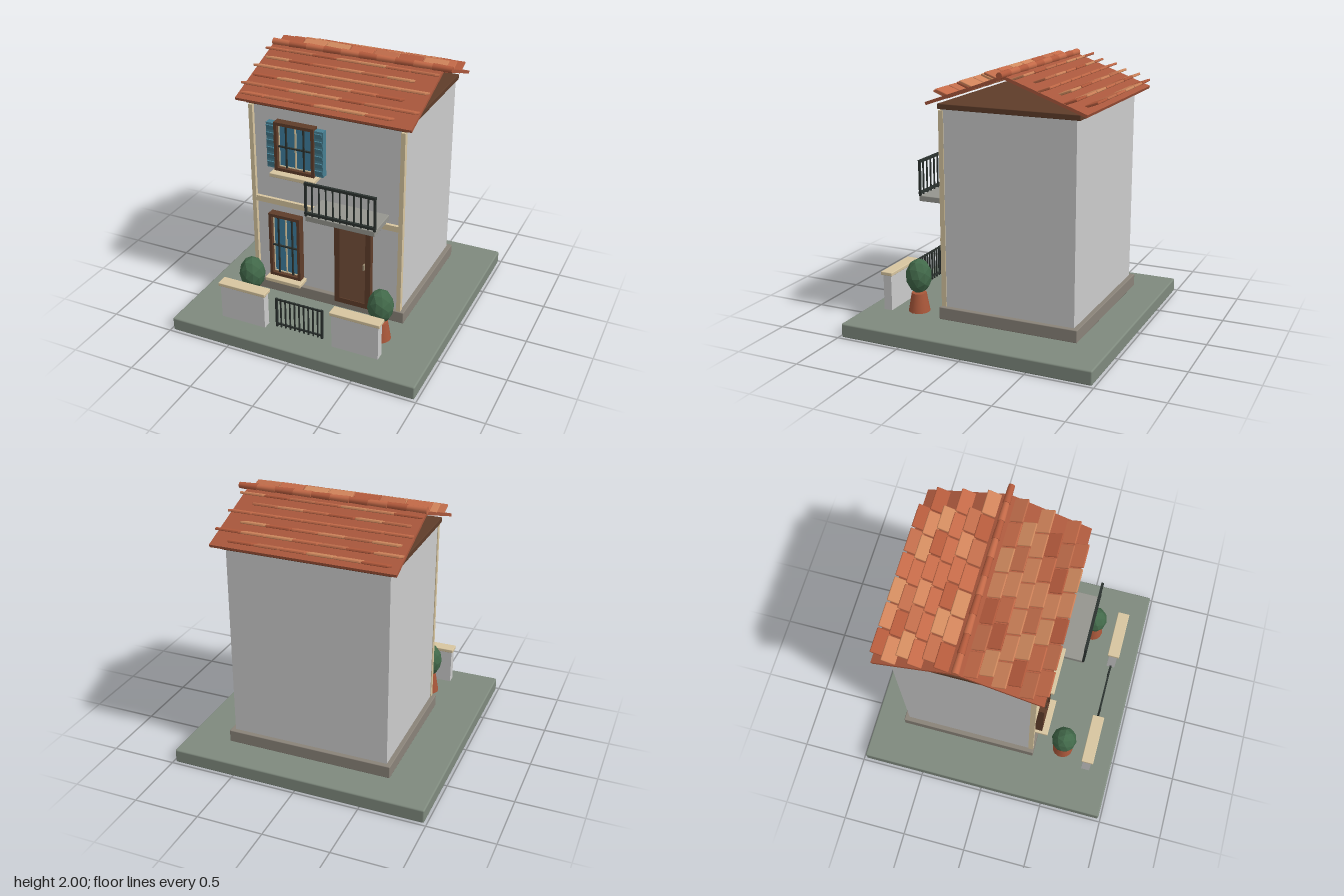
import * as THREE from 'three';
import { RoundedBoxGeometry } from 'three/addons/geometries/RoundedBoxGeometry.js';

const mat = (color, flatShading = false) => new THREE.MeshStandardMaterial({ color, flatShading });
const M = {
  wall: mat(0xcccccc), ground: mat(0x7f8a7e), plinth: mat(0x8a8379), stone: mat(0xd8c6a0),
  wood: mat(0x5f3d2a), door: mat(0x75503a), glass: mat(0x3f7f9f), shutter: mat(0x467f92),
  iron: mat(0x2b322f), slab: mat(0x96968f), roof: mat(0xa9573c), clay: mat(0xa9573a),
  leaf: mat(0x42694a, true), brass: mat(0x9a8a70),
};
const tileMats = [0xc46a48, 0xb35a3c, 0xd08a5e, 0xbf6c4a, 0xd0835a].map((c) => mat(c));

export function createModel() {
  const root = new THREE.Group();
  const group = (name, parent = root) => {
    const g = new THREE.Group();
    g.name = name;
    parent.add(g);
    return g;
  };
  const add = (parent, name, geometry, material, x = 0, y = 0, z = 0) => {
    const m = new THREE.Mesh(geometry, material);
    m.name = name;
    m.position.set(x, y, z);
    parent.add(m);
    return m;
  };
  // Box given by its minimum and maximum on each axis
  const box = (parent, name, material, [x0, x1], [y0, y1], [z0, z1], r = 0) => {
    const s = [x1 - x0, y1 - y0, z1 - z0];
    const geo = r ? new RoundedBoxGeometry(...s, 2, r) : new THREE.BoxGeometry(...s);
    return add(parent, name, geo, material, (x0 + x1) / 2, (y0 + y1) / 2, (z0 + z1) / 2);
  };
  // Four-sided frame around an opening
  const frame = (parent, name, material, [x0, x1], [y0, y1], z, t) => {
    box(parent, name, material, [x0, x0 + t], [y0, y1], z);
    box(parent, name, material, [x1 - t, x1], [y0, y1], z);
    box(parent, name, material, [x0 + t, x1 - t], [y1 - t, y1], z);
    box(parent, name, material, [x0 + t, x1 - t], [y0, y0 + t], z);
  };

  // Ground and house shell
  box(root, 'groundSlab', M.ground, [-0.98, 0.98], [0, 0.107], [-0.98, 0.98], 0.012);
  box(root, 'plinth', M.plinth, [-0.64, 0.64], [0.125, 0.22], [-0.74, 0.345], 0.006);
  box(root, 'houseBody', M.wall, [-0.605, 0.605], [0.2, 1.69], [-0.705, 0.31]);
  box(root, 'eavePlate', M.wood, [-0.625, 0.62], [1.69, 1.73], [-0.735, 0.34], 0.005);
  for (const s of [-1, 1]) {
    box(root, 'cornerTrim', M.stone, [s * 0.595 - 0.016, s * 0.595 + 0.016], [0.2, 1.68], [0.3, 0.338]);
  }
  box(root, 'beltCourse', M.stone, [-0.58, 0.58], [0.895, 0.94], [0.3, 0.335]);

  // Roof: two sloping slabs with six rows of upturned tiles each
  const roof = group('roof');
  const ridgeZ = -0.2, pitch = 0.35, slope = Math.tan(pitch);
  const tileGeo = new RoundedBoxGeometry(0.182, 0.018, 0.124, 1, 0.006);
  for (const s of [1, -1]) {
    const side = group(s > 0 ? 'frontSlope' : 'backSlope', roof);
    const slab = add(side, 'roofSlab', new THREE.BoxGeometry(1.356, 0.022, 0.64), M.roof, 0, 1.953 - 0.3 * slope, ridgeZ + s * 0.3);
    slab.rotation.x = s * pitch;
    for (let row = 0; row < 6; row++) {
      const odd = row % 2;
      const d = 0.09 + row * 0.0945;
      for (let i = 0; i < 7 - odd; i++) {
        const m = tileMats[(i * 3 + row * 2 + i * row + (s > 0 ? 0 : 1)) % 5];
        const tile = add(side, 'roofTile', tileGeo, m, -0.58 + i * 0.193 + odd * 0.048, 1.985 - d * slope, ridgeZ + s * d);
        tile.rotation.x = -s * pitch;
      }
    }
  }
  const ridgeGeo = new THREE.CylinderGeometry(0.023, 0.028, 0.145, 12).rotateZ(-Math.PI / 2);
  for (let i = 0; i < 10; i++) {
    add(roof, 'ridgeTile', ridgeGeo, tileMats[i % 2], -0.607 + i * 0.142, 1.972, ridgeZ);
  }

  // Windows with frame, glass, bars and sill
  const window = (name, [x0, x1], [y0, y1], barY) => {
    const g = group(name);
    const c = (x0 + x1) / 2, w = x1 - x0;
    frame(g, 'windowFrame', M.wood, [x0, x1], [y0, y1], [0.3, 0.375], 0.024);
    box(g, 'glass', M.glass, [x0 + 0.02, x1 - 0.02], [y0 + 0.02, y1 - 0.02], [0.3, 0.338]);
    frame(g, 'sash', M.stone, [x0 + 0.024, x1 - 0.024], [y0 + 0.024, y1 - 0.024], [0.3, 0.346], 0.007);
    box(g, 'mullion', M.stone, [c - 0.006, c + 0.006], [y0 + 0.03, y1 - 0.03], [0.3, 0.346]);
    for (const k of [-0.22, 0.22]) {
      box(g, 'windowBar', M.iron, [c + k * w - 0.005, c + k * w + 0.005], [y0 + 0.02, y1 - 0.02], [0.345, 0.36]);
    }
    box(g, 'windowBar', M.iron, [x0 + 0.02, x1 - 0.02], [barY - 0.005, barY + 0.005], [0.345, 0.36]);
    box(g, 'sill', M.stone, [x0 - 0.02, x1 + 0.02], [y0 - 0.035, y0 - 0.004], [0.3, 0.425], 0.005);
  };
  window('upperWindow', [-0.39, -0.07], [1.21, 1.595], 1.4);
  window('lowerWindow', [-0.46, -0.2], [0.29, 0.83], 0.555);

  // Louvred shutters on the upper window
  for (const x of [-0.424, -0.036]) {
    const g = group('shutter');
    box(g, 'shutterPanel', M.shutter, [x - 0.034, x + 0.034], [1.22, 1.578], [0.31, 0.36]);
    for (let i = 0; i < 6; i++) {
      const slat = add(g, 'slat', new THREE.BoxGeometry(0.058, 0.042, 0.008), M.shutter, x, 1.253 + i * 0.058, 0.363);
      slat.rotation.x = 0.3;
    }
  }

  // Front door
  const door = group('frontDoor');
  frame(door, 'doorFrame', M.wood, [0.08, 0.373], [0.18, 0.92], [0.3, 0.356], 0.042);
  box(door, 'doorLeaf', M.door, [0.12, 0.333], [0.22, 0.88], [0.3, 0.35]);
  box(door, 'doorHandle', M.brass, [0.318, 0.332], [0.525, 0.575], [0.345, 0.375], 0.004);

  // Railings: top and bottom rails with evenly spaced bars
  const railing = (name, [x0, x1], [y0, y1], z, count, t, low, high) => {
    const g = group(name);
    for (const y of [low, high]) {
      box(g, 'rail', M.iron, [x0, x1], [y - t, y + t], [z - t, z + t]);
    }
    for (let i = 0; i < count; i++) {
      const r = i % (count - 1) ? 0.005 : 0.008;
      const x = x0 + r + (i / (count - 1)) * (x1 - x0 - 2 * r);
      box(g, 'bar', M.iron, [x - r, x + r], [y0, y1], [z - r, z + r]);
    }
  };
  box(root, 'balconySlab', M.slab, [-0.045, 0.495], [0.965, 1.008], [0.3, 0.573], 0.005);
  railing('balconyRailing', [-0.05, 0.5], [1.005, 1.275], 0.566, 11, 0.01, 1.028, 1.265);
  railing('gardenGate', [-0.195, 0.19], [0.145, 0.392], 0.783, 11, 0.006, 0.17, 0.383);

  // Garden walls with coping, and potted bushes
  const potGeo = new THREE.CylinderGeometry(0.056, 0.082, 0.145, 14);
  const bushGeo = new THREE.IcosahedronGeometry(1, 1).scale(0.099, 0.135, 0.099);
  for (const s of [-1, 1]) {
    const x = s * 0.455;
    const wall = group('gardenWall');
    box(wall, 'wallPanel', M.wall, [x - 0.182, x + 0.182], [0.125, 0.402], [0.752, 0.818]);
    box(wall, 'coping', M.stone, [x - 0.195, x + 0.195], [0.4, 0.427], [0.738, 0.832], 0.005);
    const plant = group('pottedBush');
    plant.position.set(s > 0 ? 0.547 : -0.508, 0, 0.565);
    add(plant, 'pot', potGeo, M.clay, 0, 0.1975, 0);
    add(plant, 'bush', bushGeo, M.leaf, 0, 0.4, 0);
  }
  return root;
}
